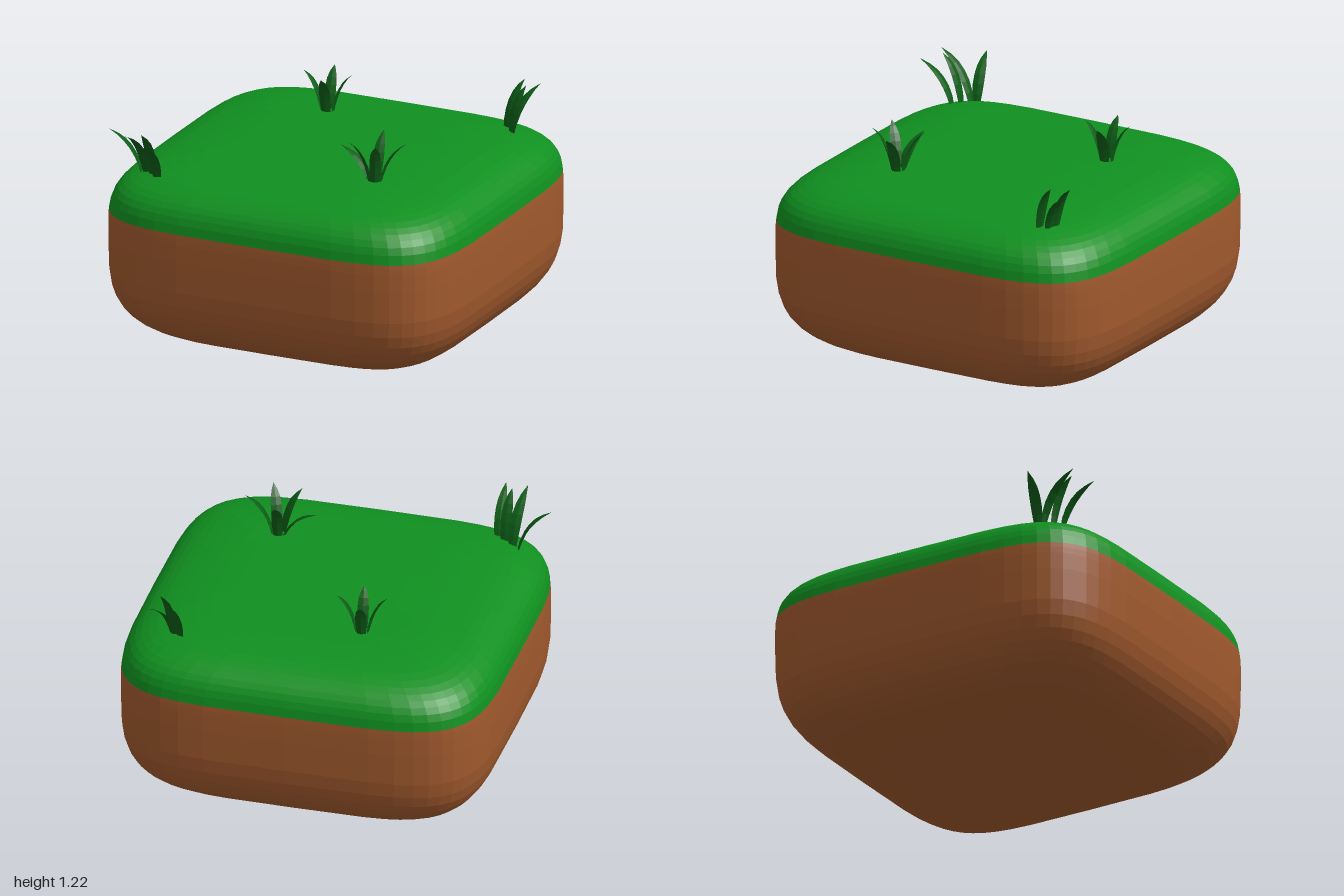
import * as THREE from 'three';

const SOIL = new THREE.MeshStandardMaterial({ color: 0xa0592d, flatShading: true });
const TURF = new THREE.MeshStandardMaterial({ color: 0x109020, flatShading: true });
const BLADE = new THREE.MeshStandardMaterial({ color: 0x0c5c16, flatShading: true });

const SIDES = 48;    // points around the block
const MID = 0.6;     // height of the widest ring
const SEAM = 0.75;   // height where soil meets turf

// Signed power, the building block of a superellipse
const spow = (v, e) => Math.sign(v) * Math.pow(Math.abs(v), e);

// Joins closed rings of points, listed from bottom to top, into one surface
function skin(rings) {
  const n = rings[0].length;
  const index = [];
  for (let i = 0; i < rings.length - 1; i++) {
    for (let j = 0; j < n; j++) {
      const k = (j + 1) % n;
      const a = i * n + j, b = i * n + k, c = a + n, d = b + n;
      index.push(a, c, b, b, c, d);
    }
  }
  const geometry = new THREE.BufferGeometry().setFromPoints(rings.flat());
  geometry.setIndex(index);
  geometry.computeVertexNormals();
  return geometry;
}

// One rounded-square ring of the block at profile angle phi (-90 to 90 degrees)
function blockRing(phi) {
  const [half, n] = phi < 0 ? [MID, 3.5] : [1 - MID, 4.4];
  const r = Math.pow(Math.max(0, Math.cos(phi)), 2 / n);
  const y = MID + half * spow(Math.sin(phi), 2 / n);
  return Array.from({ length: SIDES }, (_, j) => {
    const t = (j / SIDES) * Math.PI * 2;
    return new THREE.Vector3(r * spow(Math.cos(t), 0.4), y, r * spow(Math.sin(t), 0.4));
  });
}

function blockPart(name, material, from, to, steps) {
  const rings = [];
  for (let i = 0; i <= steps; i++) rings.push(blockRing(from + ((to - from) * i) / steps));
  const mesh = new THREE.Mesh(skin(rings), material);
  mesh.name = name;
  return mesh;
}

// Pointed leaf with a ridge, bending outward from its base to its tip
function grassBlade([bx, by, bz], [tx, ty, tz]) {
  const base = new THREE.Vector3(bx, by, bz);
  const tip = new THREE.Vector3(tx, ty, tz);
  const out = new THREE.Vector3(tx - bx, 0, tz - bz);
  const bend = base.clone().addScaledVector(out, 0.2).setY(by + (ty - by) * 0.75);
  const curve = new THREE.QuadraticBezierCurve3(base, bend, tip);
  out.normalize();
  const side = new THREE.Vector3(-out.z, 0, out.x);
  const halfWidths = [0.02, 0.027, 0.03, 0.029, 0.025, 0.015, 0.001];
  const rings = halfWidths.map((w, i) => {
    const p = curve.getPoint(i / (halfWidths.length - 1));
    const at = (dir, s) => p.clone().addScaledVector(dir, s);
    return [at(out, w * 0.35), at(side, w), at(out, -w * 0.15), at(side, -w)];
  });
  const mesh = new THREE.Mesh(skin(rings), BLADE);
  mesh.name = 'grassBlade';
  return mesh;
}

// Tuft spreading from a centre; each blade starts a little way toward its tip
function starTuft(name, x, z, tips) {
  const tuft = new THREE.Group();
  tuft.name = name;
  for (const tip of tips) {
    const d = new THREE.Vector2(tip[0] - x, tip[2] - z).setLength(0.025);
    tuft.add(grassBlade([x + d.x, 0.97, z + d.y], tip));
  }
  return tuft;
}

// Row of leaning blades given as base and tip pairs
function leaningTuft(name, blades) {
  const tuft = new THREE.Group();
  tuft.name = name;
  for (const [base, tip] of blades) tuft.add(grassBlade(base, tip));
  return tuft;
}

export function createModel() {
  const model = new THREE.Group();
  model.name = 'grassBlock';

  // Rounded block, split at the seam
  const seamPhi = Math.asin(Math.pow((SEAM - MID) / (1 - MID), 2.2));
  model.add(
    blockPart('soilLower', SOIL, -Math.PI / 2, 0, 14),
    blockPart('soilUpper', SOIL, 0, seamPhi, 3),
    blockPart('turf', TURF, seamPhi, Math.PI / 2, 14),
  );

  // Grass tufts
  model.add(
    starTuft('backRightTuft', -0.26, -0.44, [
      [-0.39, 1.2, -0.43], [-0.13, 1.2, -0.46], [-0.28, 1.2, -0.57], [-0.24, 1.2, -0.32],
    ]),
    starTuft('frontLeftTuft', 0.42, 0.41, [
      [0.21, 1.15, 0.38], [0.4, 1.22, 0.26], [0.59, 1.21, 0.38],
      [0.48, 1.22, 0.53], [0.32, 1.22, 0.51],
    ]),
    leaningTuft('backLeftTuft', [
      [[0.65, 0.94, -0.68], [0.7, 1.2, -0.8]],
      [[0.69, 0.94, -0.66], [0.78, 1.18, -0.82]],
      [[0.71, 0.95, -0.62], [0.75, 1.2, -0.71]],
    ]),
    leaningTuft('frontRightTuft', [
      [[-0.79, 0.92, 0.67], [-0.96, 1.16, 0.71]],
      [[-0.76, 0.93, 0.68], [-0.79, 1.2, 0.88]],
      [[-0.71, 0.93, 0.71], [-0.72, 1.2, 0.83]],
      [[-0.67, 0.93, 0.74], [-0.66, 1.17, 0.93]],
    ]),
  );
  return model;
}
